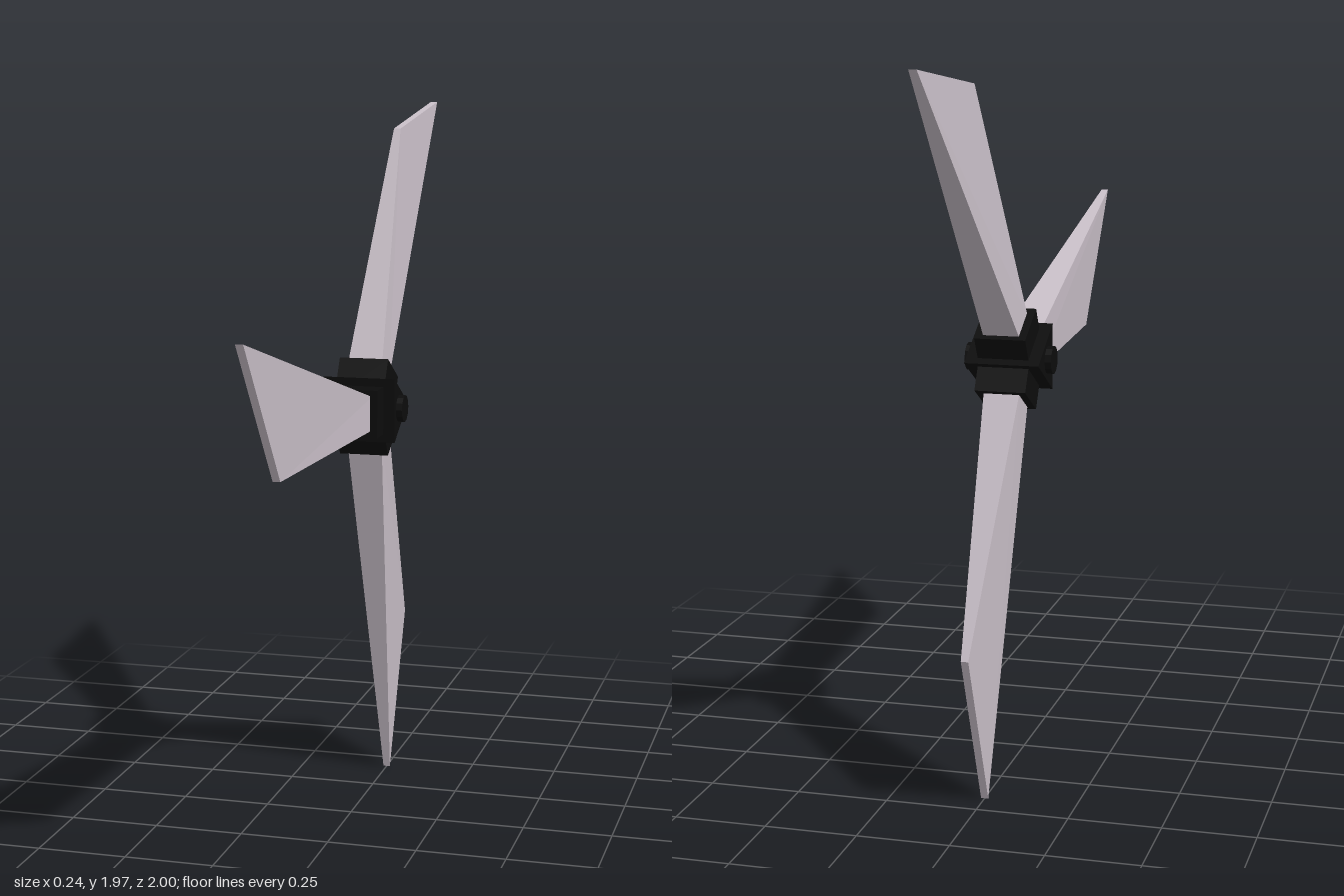
import * as THREE from 'three';

// Cylinder or prism lying along x, faceted
function axleGeometry(radius, length, sides) {
  const g = new THREE.CylinderGeometry(radius, radius, length, sides, 1, false, Math.PI);
  g.rotateZ(Math.PI / 2);
  const flat = g.toNonIndexed();
  flat.computeVertexNormals();
  return flat;
}

// Blade along +z: a box tapered in thickness, with a slanted, raised end
function bladeGeometry() {
  const g = new THREE.BoxGeometry(2, 2, 2).toNonIndexed();
  const p = g.attributes.position;
  for (let i = 0; i < p.count; i++) {
    const side = p.getX(i), upper = p.getY(i) > 0;
    if (p.getZ(i) > 0) {
      p.setXYZ(i, side * 0.01, upper ? 0.334 : -0.048, upper ? 1.138 : 0.848);
    } else {
      p.setXYZ(i, side * 0.05, upper ? 0.046 : -0.048, 0.1);
    }
  }
  g.computeVertexNormals();
  return g;
}

export function createModel() {
  const bladeGrey = new THREE.MeshStandardMaterial({ color: 0xc9bfc8 });
  const hubBlack = new THREE.MeshStandardMaterial({ color: 0x0c0c0c });

  const model = new THREE.Group();
  model.name = 'rotor';
  const add = (parent, name, geometry, material) => {
    const mesh = new THREE.Mesh(geometry, material);
    mesh.name = name;
    parent.add(mesh);
    return mesh;
  };

  const rotor = new THREE.Group();
  rotor.name = 'rotorAssembly';
  rotor.position.set(0, 1.153, -0.138);
  model.add(rotor);

  // Triangular hub core and the axle through it
  add(rotor, 'hubCore', axleGeometry(0.104, 0.205, 3), hubBlack);
  add(rotor, 'axle', axleGeometry(0.038, 0.24, 12), hubBlack);

  // Three arms, each a socket with a blade
  const blade = bladeGeometry();
  const socket = new THREE.BoxGeometry(0.14, 0.134, 0.12).translate(0, 0, 0.06);
  for (let i = 0; i < 3; i++) {
    const arm = new THREE.Group();
    arm.name = `arm${i + 1}`;
    arm.rotation.x = -i * Math.PI * 2 / 3;
    add(arm, 'bladeSocket', socket, hubBlack);
    add(arm, 'blade', blade, bladeGrey);
    rotor.add(arm);
  }
  return model;
}
